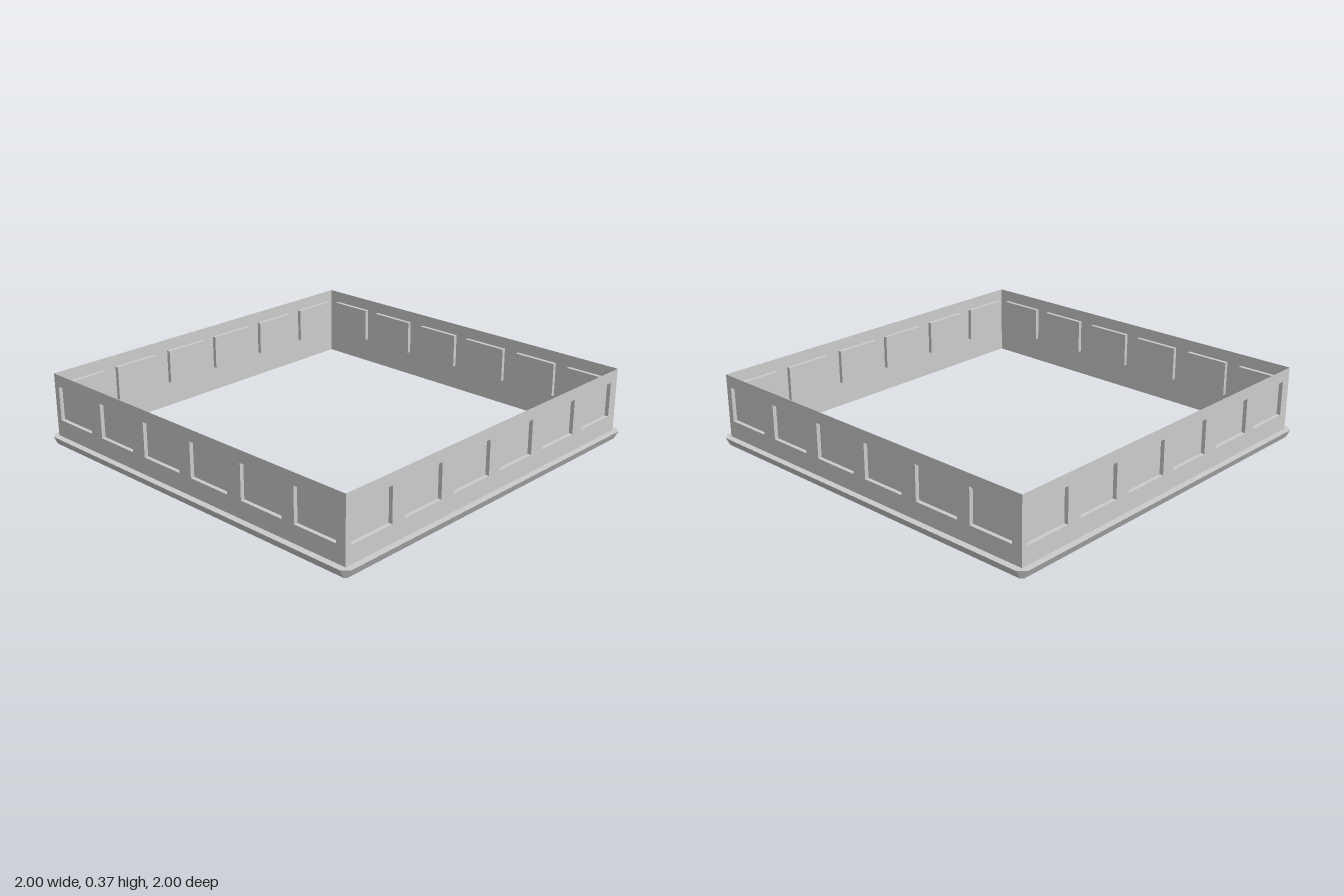
import * as THREE from 'three';

const WALL = 0.967, HEIGHT = 0.365, DEPTH = 0.02, LEDGE = 0.042;
const PANEL_Y = [0.13, 0.305];
const PANELS = [[-0.936, -0.69], [-0.61, -0.375], [-0.29, -0.045], [0.033, 0.27], [0.358, 0.604], [0.678, 0.914]];

const material = new THREE.MeshStandardMaterial({ color: 0xcccccc, flatShading: true, side: THREE.DoubleSide });

function addMesh(parent, name, geometry) {
  const mesh = new THREE.Mesh(geometry, material);
  mesh.name = name;
  parent.add(mesh);
  return mesh;
}

function rectangle(Type, x0, x1, y0, y1) {
  return new Type([[x0, y0], [x1, y0], [x1, y1], [x0, y1]].map(([x, y]) => new THREE.Vector2(x, y)));
}

// One thin wall with six recessed panels, facing +z
function createSide() {
  const side = new THREE.Group();
  const outline = rectangle(THREE.Shape, -WALL, WALL, 0, HEIGHT);
  for (const [a, b] of PANELS) outline.holes.push(rectangle(THREE.Path, a, b, ...PANEL_Y));
  addMesh(side, 'wall', new THREE.ShapeGeometry(outline)).position.z = WALL;

  for (const [a, b] of PANELS) {
    // Box without its front face: an open pocket behind the wall
    const box = new THREE.BoxGeometry(b - a, PANEL_Y[1] - PANEL_Y[0], DEPTH);
    const index = Array.from(box.index.array);
    index.splice(24, 6);
    box.setIndex(index);
    box.clearGroups();
    addMesh(side, 'recessedPanel', box)
      .position.set((a + b) / 2, (PANEL_Y[0] + PANEL_Y[1]) / 2, WALL - DEPTH / 2);
  }
  return side;
}

// Square ring with chamfered corners; r is the half width
function ledgeRing(r, y) {
  const c = WALL;
  return [[c, r], [r, c], [r, -c], [c, -r], [-c, -r], [-r, -c], [-r, c], [-c, r]]
    .map(([x, z]) => new THREE.Vector3(x, y, z));
}

// Flared base ledge with a flat top and sloped underside
function createLedgeGeometry() {
  const rings = [ledgeRing(WALL, LEDGE), ledgeRing(1, LEDGE), ledgeRing(0.979, 0), ledgeRing(WALL, 0)];
  const points = [];
  const addTriangle = (a, b, c) => {
    if (new THREE.Triangle(a, b, c).getArea() > 1e-7) points.push(a, b, c);
  };
  for (let i = 0; i < rings.length - 1; i++) {
    for (let j = 0; j < 8; j++) {
      const k = (j + 1) % 8;
      const [a, b, c, d] = [rings[i][j], rings[i + 1][j], rings[i + 1][k], rings[i][k]];
      addTriangle(a, b, c);
      addTriangle(a, c, d);
    }
  }
  const geometry = new THREE.BufferGeometry().setFromPoints(points);
  geometry.computeVertexNormals();
  return geometry;
}

export function createModel() {
  const model = new THREE.Group();
  model.name = 'panelledParapet';

  // The same side turned four times
  ['frontSide', 'leftSide', 'backSide', 'rightSide'].forEach((name, i) => {
    const side = createSide();
    side.name = name;
    side.rotation.y = i * Math.PI / 2;
    model.add(side);
  });

  addMesh(model, 'baseLedge', createLedgeGeometry());
  return model;
}
